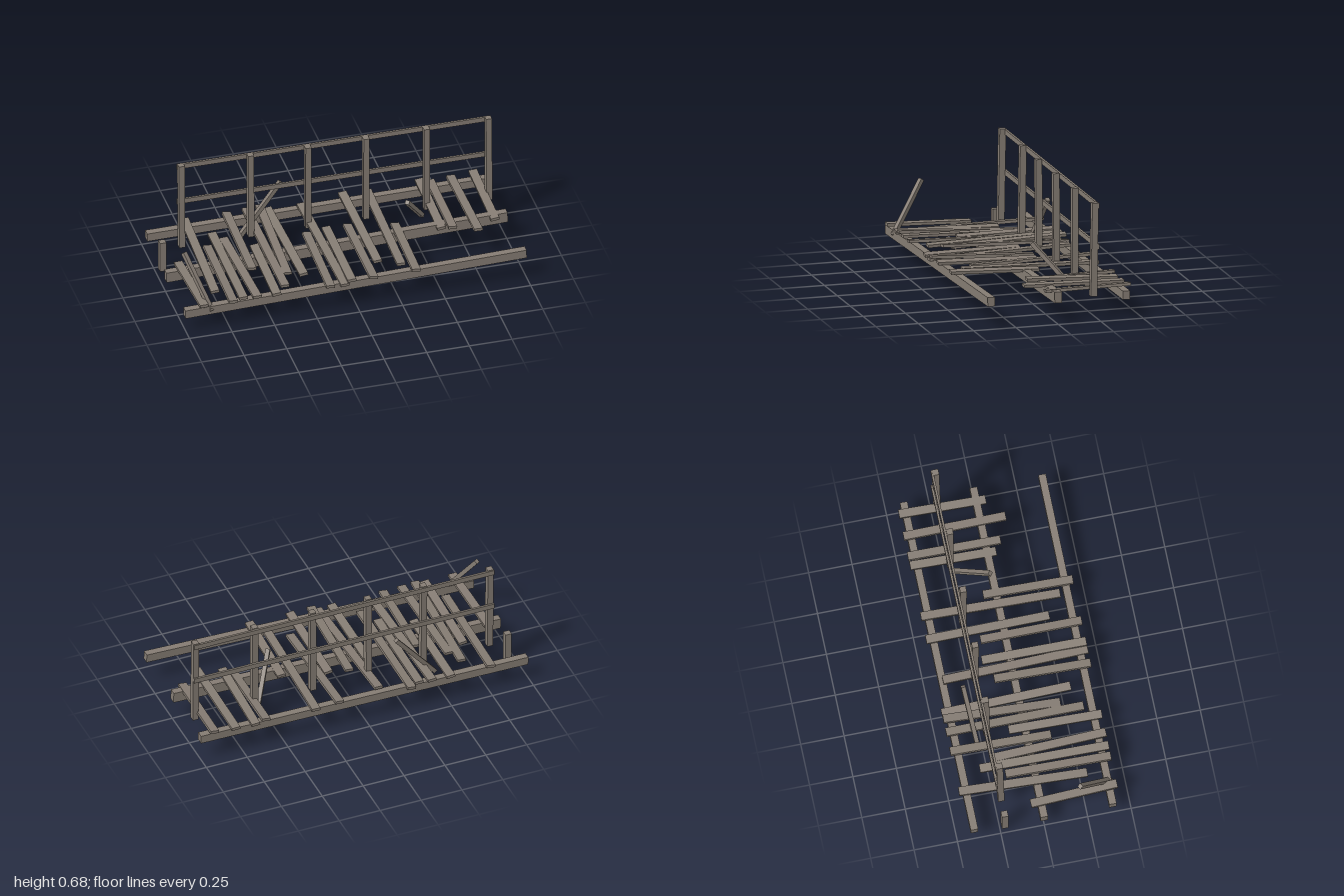
import * as THREE from 'three';

export function createModel() {
  const group = new THREE.Group();
  const wood = new THREE.MeshStandardMaterial({ color: 0x857c73 });
  wood.name = 'weatheredWood';

  // Squared timber from point a to point b, w wide and h deep, rolled about its length
  function timber(name, a, b, w, h, roll = 0) {
    const p = new THREE.Vector3(...a), q = new THREE.Vector3(...b);
    const along = q.clone().sub(p);
    const length = along.length();
    along.normalize();
    const up = Math.abs(along.y) > 0.95 ? new THREE.Vector3(0, 0, 1) : new THREE.Vector3(0, 1, 0);
    const side = up.cross(along).normalize();
    const top = along.clone().cross(side);
    const mesh = new THREE.Mesh(new THREE.BoxGeometry(w, h, length), wood);
    mesh.quaternion.setFromRotationMatrix(new THREE.Matrix4().makeBasis(side, top, along));
    mesh.rotateZ(roll);
    mesh.position.copy(p).add(q).multiplyScalar(0.5);
    mesh.name = name;
    group.add(mesh);
  }

  // Long bearers: z, centre height at the left and right ends, depth
  [[0.395, 0.106, 0.16, 0.052], [0, 0.104, 0.157, 0.064], [-0.402, 0.12, 0.141, 0.05]]
    .forEach(([z, y0, y1, h]) => timber('bearer', [-1, y0, z], [1, y1, z], 0.043, h));

  // Deck planks: x and z of the back end, x and z of the front end, rise of the front end
  [
    [-0.91, -0.06, -0.895, 0.44, 0.02], [-0.765, -0.445, -0.79, 0.29, -0.02],
    [-0.71, -0.165, -0.725, 0.44, 0.01], [-0.645, -0.3, -0.665, 0.44, 0.035],
    [-0.6, -0.22, -0.583, 0.44, 0.02], [-0.52, -0.445, -0.53, 0.135, -0.01],
    [-0.455, -0.095, -0.47, 0.44, 0.01], [-0.405, -0.445, -0.396, 0.35, -0.02],
    [-0.326, -0.445, -0.348, 0.225, -0.03], [-0.28, -0.445, -0.273, 0.3, 0.025],
    [-0.144, -0.115, -0.155, 0.44, -0.01], [-0.096, -0.4, -0.07, 0.44, -0.02],
    [-0.016, -0.16, -0.03, 0.44, 0.025], [0.104, -0.143, 0.098, 0.44, 0.015],
    [0.16, -0.445, 0.17, 0.267, -0.015], [0.305, -0.445, 0.283, 0.353, 0.01],
    [0.363, -0.075, 0.347, 0.44, 0.015], [0.61, -0.445, 0.604, 0.05, -0.015],
    [0.673, -0.445, 0.66, 0.087, 0.02], [0.794, -0.445, 0.794, 0.144, 0.012],
    [0.925, -0.445, 0.917, 0.054, -0.01],
  ].forEach(([x0, z0, x1, z1, rise], i) => {
    const y = 0.167 + 0.018 * x0;
    const roll = 0.12 * Math.sin(i * 2.3);
    timber('deckPlank', [x0, y - rise / 2, z0], [x1, y + rise / 2, z1], 0.05, 0.017, roll);
  });

  // Railing posts, leaning slightly, and the broken stump
  [[-0.845, -0.228], [-0.44, -0.226], [-0.105, -0.216], [0.235, -0.216], [0.59, -0.22], [0.955, -0.228]]
    .forEach(([x, z]) => timber('railingPost', [x, 0.14, -0.219], [x, 0.682, z], 0.035, 0.037));
  timber('postStump', [-0.957, 0, -0.22], [-0.957, 0.19, -0.22], 0.037, 0.037);

  // Handrail and middle rail on the back of the posts
  for (const y of [0.663, 0.427])
    timber('rail', [-0.865, y, -0.246], [0.97, y, -0.246], 0.013, 0.03);

  // Broken boards leaning out of the deck
  timber('looseBoard', [-0.845, 0.105, 0.413], [-0.953, 0.392, 0.216], 0.025, 0.025);
  timber('looseBoard', [-0.488, 0.1, -0.281], [-0.238, 0.408, -0.313], 0.025, 0.025);
  timber('looseBoard', [0.562, 0.103, -0.208], [0.422, 0.335, -0.02], 0.025, 0.025);

  return group;
}
